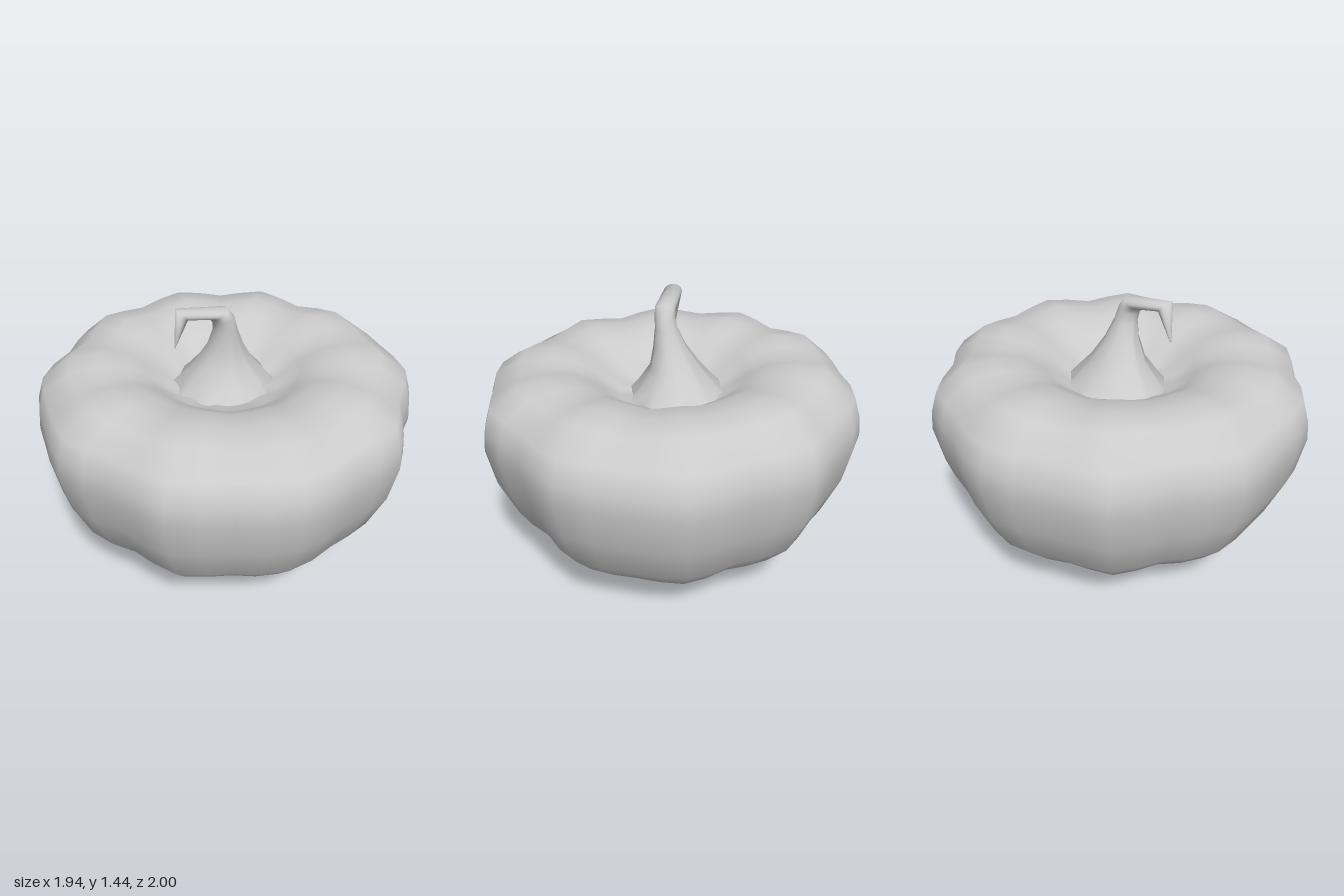
import * as THREE from 'three';

const material = new THREE.MeshStandardMaterial({ color: 0xcccccc, roughness: 0.9 });

// Skins a stack of closed rings; point(j, a) gives the position on ring j at angle a.
function loft(name, rings, sides, point) {
  const positions = [], index = [];
  for (let j = 0; j < rings; j++) {
    for (let i = 0; i < sides; i++) positions.push(...point(j, (i / sides) * Math.PI * 2));
  }
  for (let j = 0; j < rings - 1; j++) {
    for (let i = 0; i < sides; i++) {
      const n = (i + 1) % sides;
      const a = j * sides + i, b = j * sides + n;
      const c = b + sides, d = a + sides;
      index.push(a, b, c, a, c, d);
    }
  }
  const geometry = new THREE.BufferGeometry();
  geometry.setAttribute('position', new THREE.Float32BufferAttribute(positions, 3));
  geometry.setIndex(index);
  geometry.computeVertexNormals();
  const mesh = new THREE.Mesh(geometry, material);
  mesh.name = name;
  return mesh;
}

// Ribbed body: [radius, height] from the underside, over the rim, into the hollow
function createBody() {
  const profile = [
    [0.001, 0.015], [0.06, 0.004], [0.13, 0], [0.29, 0.03], [0.585, 0.14],
    [0.755, 0.26], [0.87, 0.39], [0.96, 0.6], [1, 0.8], [0.99, 0.9], [0.955, 1.01],
    [0.81, 1.12], [0.66, 1.135], [0.52, 1.115], [0.4, 1.05], [0.28, 0.96], [0.001, 0.92],
  ];
  return loft('body', profile.length, 40, (j, a) => {
    const [r, y] = profile[j];
    const groove = 0.5 - 0.5 * Math.cos(10 * a);
    const depth = 0.047 - 0.018 * Math.cos(4 * a);
    const low = Math.max(0, 1 - y / 0.4);
    const onTop = j > 10 ? 1 : 0;
    const radius = r * (1 - groove * (depth + 0.06 * low * low) * (onTop ? 0.8 : 1));
    const z = radius * Math.cos(a);
    // The grooves dip across the rim, and the back of the rim sits a little higher
    const lift = onTop * (-0.03 * groove * Math.min(1, r * 1.5) - 0.02 * z);
    const crease = j > 0 && j < 4 ? 0.015 * groove : 0;
    return [radius * Math.sin(a), y + lift + crease, z];
  });
}

// Fluted stem: each ring is [outer x, y, inner x, y, back z, front z, flute depth]
function createStem() {
  const rings = [
    [0.29, 0.93, -0.29, 0.93, -0.32, 0.23, 0.1],
    [0.23, 1.0, -0.23, 1.0, -0.24, 0.17, 0.1],
    [0.15, 1.09, -0.155, 1.09, -0.16, 0.11, 0.1],
    [0.09, 1.19, -0.095, 1.2, -0.085, 0.092, 0.07],
    [0.05, 1.29, -0.075, 1.29, -0.035, 0.085, 0.04],
    [0.03, 1.36, -0.08, 1.335, -0.018, 0.088, 0],
    [-0.005, 1.408, -0.1, 1.365, -0.015, 0.092, 0],
    [-0.27, 1.44, -0.215, 1.385, -0.005, 0.092, 0],
    [-0.285, 1.236, -0.281, 1.236, 0.035, 0.045, 0],
  ];
  return loft('stem', rings.length, 20, (j, a) => {
    const [ox, oy, ix, iy, z0, z1, flute] = rings[j];
    const k = 1 - flute * (0.5 - 0.5 * Math.cos(10 * a));
    const s = 0.5 * k * Math.sin(a), c = 0.5 * k * Math.cos(a);
    return [
      (ox + ix) / 2 + (ox - ix) * s,
      (oy + iy) / 2 + (oy - iy) * s,
      (z0 + z1) / 2 + (z1 - z0) * c,
    ];
  });
}

export function createModel() {
  const group = new THREE.Group();
  group.name = 'pumpkin';
  group.add(createBody(), createStem());
  return group;
}
